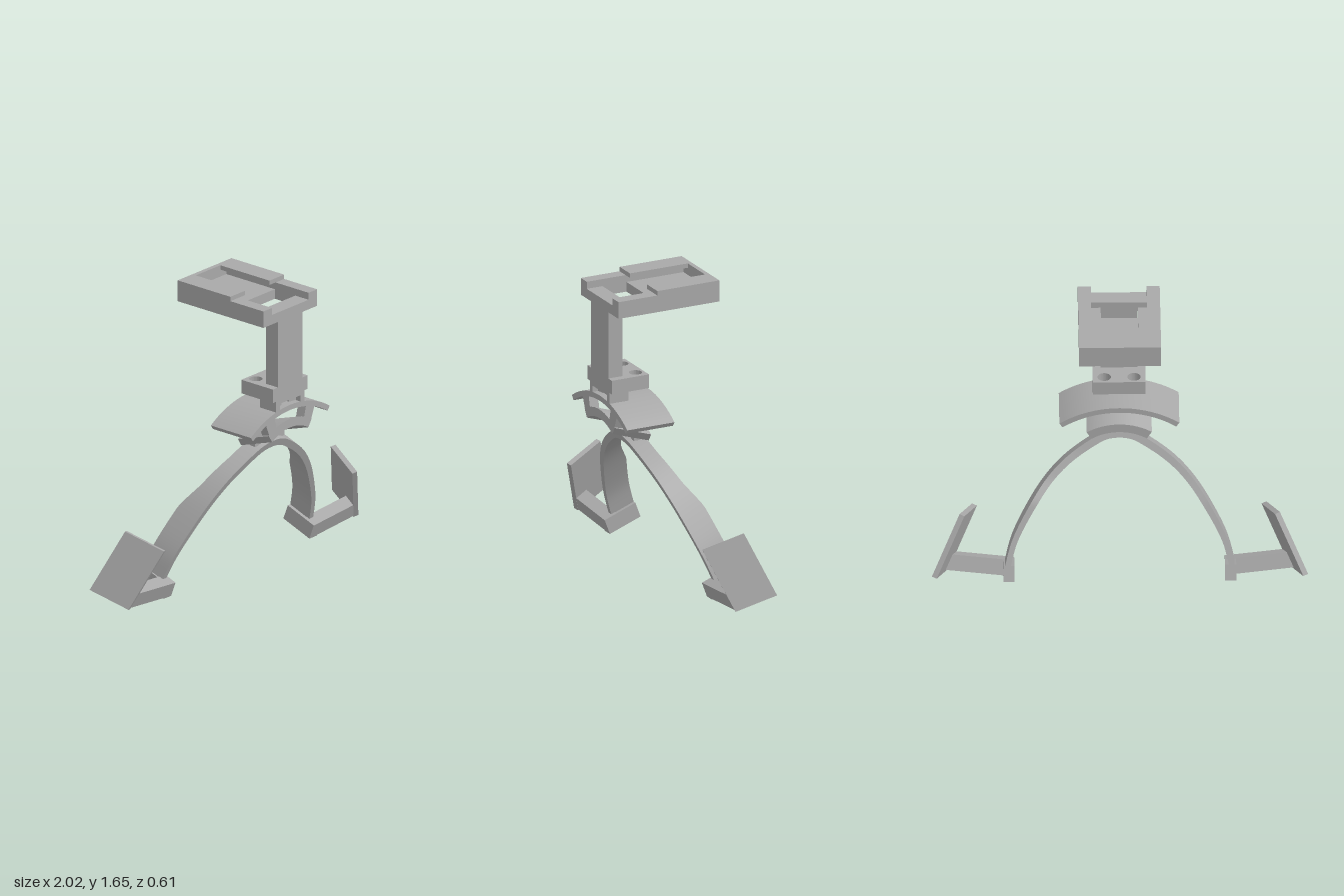
import * as THREE from 'three';
import { toCreasedNormals } from 'three/addons/utils/BufferGeometryUtils.js';

const grey = new THREE.MeshStandardMaterial({ color: 0xa8a8a8 });
grey.name = 'grey plastic';

function add(parent, name, geo) {
  const mesh = new THREE.Mesh(geo, grey);
  mesh.name = name;
  parent.add(mesh);
  return mesh;
}

// Box given by its limits on each axis
function box(parent, name, x0, x1, y0, y1, z0, z1) {
  const geo = new THREE.BoxGeometry(x1 - x0, y1 - y0, z1 - z0);
  geo.translate((x0 + x1) / 2, (y0 + y1) / 2, (z0 + z1) / 2);
  return add(parent, name, geo);
}

// Outline in x and y, extruded from z0 to z1
function prism(points, z0, z1) {
  const shape = new THREE.Shape(points.map(p => new THREE.Vector2(p[0], p[1])));
  const geo = new THREE.ExtrudeGeometry(shape, { depth: z1 - z0, bevelEnabled: false });
  return geo.translate(0, 0, z0);
}

// Flat-sided geometry reflected in x, with its winding restored
function mirrored(source) {
  const geo = source.index ? source.toNonIndexed() : source.clone();
  const p = geo.attributes.position;
  const a = new THREE.Vector3(), b = new THREE.Vector3();
  for (let i = 0; i < p.count; i++) p.setX(i, -p.getX(i));
  for (let i = 0; i < p.count; i += 3) {
    a.fromBufferAttribute(p, i + 1);
    b.fromBufferAttribute(p, i + 2);
    p.setXYZ(i + 1, b.x, b.y, b.z);
    p.setXYZ(i + 2, a.x, a.y, a.z);
  }
  geo.computeVertexNormals();
  return geo;
}

function pair(parent, name, geo) {
  add(parent, name + 'Left', geo);
  add(parent, name + 'Right', mirrored(geo));
}

// Horizontal slab with holes cut from top to bottom
function slab(x, z0, z1, y0, y1, holes) {
  const shape = new THREE.Shape([[-x, -z1], [x, -z1], [x, -z0], [-x, -z0]].map(p => new THREE.Vector2(...p)));
  shape.holes.push(...holes);
  const geo = new THREE.ExtrudeGeometry(shape, { depth: y1 - y0, bevelEnabled: false, curveSegments: 20 });
  return geo.rotateX(-Math.PI / 2).translate(0, y0, 0);
}

// Arched plate: outer radius, thickness, half width, height of its crown
function arch(radius, thick, half, top, z0, z1) {
  const a = Math.asin(half / radius), pts = [];
  const n = 20, cy = top - radius;
  for (const [r, s] of [[radius, 1], [radius - thick, -1]])
    for (let i = 0; i <= n; i++) {
      const t = s * a * (1 - 2 * i / n);
      pts.push([r * Math.sin(t), cy + r * Math.cos(t)]);
    }
  return toCreasedNormals(prism(pts, z0, z1), 0.5);
}

// Curved two-legged band, widening towards the feet
function legBand() {
  const half = [[0, 0], [0.08, -0.012], [0.16, -0.055], [0.3, -0.16], [0.41, -0.285],
    [0.51, -0.45], [0.58, -0.6], [0.62, -0.75]];
  const all = [...half.slice(1).reverse().map(p => [-p[0], p[1]]), ...half];
  const curve = new THREE.CatmullRomCurve3(all.map(p => new THREE.Vector3(p[0], p[1], 0)));
  const widths = [[0, 0.09], [0.1, 0.092], [0.25, 0.11], [0.38, 0.145], [1, 0.145]];
  const widthAt = d => {
    let i = 0;
    while (i < widths.length - 2 && d > widths[i + 1][0]) i++;
    const [a, b] = [widths[i], widths[i + 1]];
    return THREE.MathUtils.lerp(a[1], b[1], THREE.MathUtils.clamp((d - a[0]) / (b[0] - a[0]), 0, 1));
  };
  const pos = [], idx = [], n = 64;
  for (let i = 0; i <= n; i++) {
    const p = curve.getPointAt(i / n), t = curve.getTangentAt(i / n);
    const thick = 0.042 - 0.012 * Math.min(1, -p.y / 0.6);
    const w = widthAt(-p.y);
    const ix = p.x + t.y * thick, iy = p.y - t.x * thick;
    pos.push(p.x, p.y, 0, p.x, p.y, -w, ix, iy, -w, ix, iy, 0);
    if (i < n) for (let k = 0; k < 4; k++) {
      const a = i * 4 + k, b = i * 4 + (k + 1) % 4;
      idx.push(a, a + 4, b, b, a + 4, b + 4);
    }
  }
  const e = n * 4;
  idx.push(0, 1, 2, 0, 2, 3, e, e + 2, e + 1, e, e + 3, e + 2);
  const geo = new THREE.BufferGeometry();
  geo.setAttribute('position', new THREE.Float32BufferAttribute(pos, 3));
  geo.setIndex(idx);
  return toCreasedNormals(geo, 0.5);
}

// Slanted, twisted plate: a box whose corners follow a linear rule
function padPlate() {
  const geo = new THREE.BoxGeometry(1, 1, 1);
  const p = geo.attributes.position;
  for (let i = 0; i < p.count; i++) {
    const out = p.getX(i) + 0.5, down = 0.5 - p.getY(i), back = 0.5 - p.getZ(i);
    p.setXYZ(i,
      0.79 + 0.15 * down + 0.07 * back - 0.026 * (1 - out),
      -0.44 - 0.345 * down - 0.01 * (1 - out),
      0.062 - 0.23 * back - 0.008 * (1 - out));
  }
  geo.computeVertexNormals();
  return geo;
}

export function createModel() {
  const model = new THREE.Group();
  model.name = 'mountStand';

  // Top tray with a sliding slot and a hole through its floor
  const tray = new THREE.Group();
  tray.name = 'topTray';
  model.add(tray);
  const opening = new THREE.Path([[-0.15, -0.21], [-0.15, -0.065], [0.15, -0.065], [0.15, -0.21]]
    .map(p => new THREE.Vector2(...p)));
  add(tray, 'trayFloor', slab(0.22, -0.305, 0.305, 1.535, 1.59, [opening]));
  pair(tray, 'trayRail', box(new THREE.Group(), '', 0.15, 0.22, 1.59, 1.63, -0.305, 0.305).geometry);
  pair(tray, 'trayLip', box(new THREE.Group(), '', 0.1, 0.22, 1.63, 1.655, -0.305, 0.07).geometry);
  box(tray, 'trayBackWall', -0.15, 0.15, 1.59, 1.63, -0.305, -0.28);
  box(tray, 'trayBackLip', -0.1, 0.1, 1.63, 1.655, -0.305, -0.28);

  // Column and its drilled foot
  box(model, 'column', -0.1, 0.1, 1.155, 1.535, 0.22, 0.305);
  const holes = [-0.08, 0.08].map(x => new THREE.Path().absarc(x, -0.13, 0.036, 0, Math.PI * 2, true));
  add(model, 'columnFoot', toCreasedNormals(slab(0.142, 0.08, 0.305, 1.08, 1.158, holes), 0.5));

  // Neck with an open centre
  box(model, 'neckBar', -0.115, 0.115, 1.06, 1.08, 0.19, 0.305);
  pair(model, 'neckLeg', box(new THREE.Group(), '', 0.085, 0.115, 1.0, 1.06, 0.19, 0.305).geometry);
  pair(model, 'neckPillar', box(new THREE.Group(), '', 0.03, 0.085, 1.01, 1.06, 0.19, 0.27).geometry);

  // Upper arched plate and the struts beneath it
  add(model, 'upperSaddle', arch(0.578, 0.03, 0.322, 1.03, 0.02, 0.305));
  pair(model, 'strut', prism([[0.105, 0.895], [0.165, 0.885], [0.205, 0.985], [0.13, 0.995]], 0.25, 0.305));

  // Lower arched plate, dropping towards the back
  const lower = arch(0.33, 0.05, 0.175, 0.95, 0.085, 0.305);
  lower.applyMatrix4(new THREE.Matrix4().set(1, 0, 0, 0, 0, 1, 0.33, -0.33 * 0.305, 0, 0, 1, 0, 0, 0, 0, 1));
  add(model, 'lowerSaddle', lower);
  box(model, 'saddleBoss', -0.12, 0.12, 0.785, 0.85, 0.11, 0.16);

  // Leaning leg assembly
  const legs = new THREE.Group();
  legs.name = 'legs';
  legs.position.set(0, 0.795, 0.19);
  legs.rotation.x = 0.36;
  model.add(legs);
  add(legs, 'legBand', legBand());
  pair(legs, 'footHook', box(new THREE.Group(), '', 0.565, 0.625, -0.824, -0.735, -0.145, 0.053).geometry);
  pair(legs, 'footArm', prism([[0.57, -0.824], [0.935, -0.785], [0.9, -0.7], [0.57, -0.735]], -0.025, 0.053));
  pair(legs, 'footPad', padPlate());
  return model;
}
